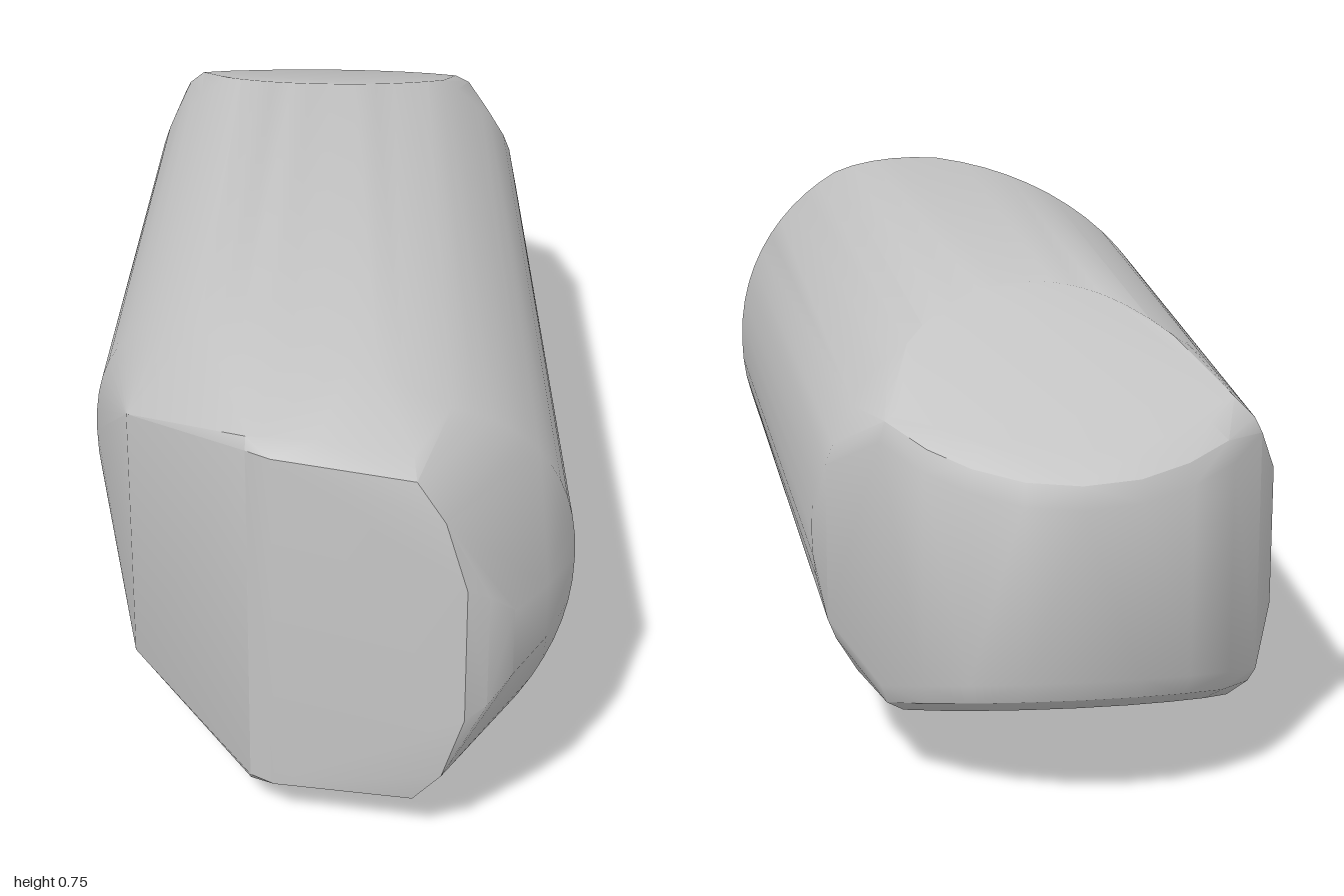
import * as THREE from 'three';
import { ConvexGeometry } from 'three/addons/geometries/ConvexGeometry.js';
import { toCreasedNormals } from 'three/addons/utils/BufferGeometryUtils.js';

const MID = 0.375; // height of the horizontal symmetry plane
const POWER = 2.15; // squareness of the oval barrel

export function createModel() {
  const group = new THREE.Group();
  const grey = new THREE.MeshStandardMaterial({ color: 0xc4c4c4 });
  grey.name = 'stone grey';

  const points = [];
  const add = (x, dy, z) => points.push(new THREE.Vector3(x, MID + dy, z));
  const addPair = (x, dy, z) => { add(x, dy, z); add(x, -dy, z); };
  const lerp = THREE.MathUtils.lerp;

  // Half height of the sloping tail faces at depth z, and of the barrel at x
  const tailHeight = (z) => 0.37 - 0.335 * (-0.445 - z);
  const barrelHeight = (x) => {
    const u = Math.min(1, Math.abs(x + 0.02) / 0.38);
    return 0.37 * (1 - u ** POWER) ** (1 / POWER);
  };

  // Oval barrel: each lengthwise line ends where the nose and tail cuts meet it
  const sides = 64;
  for (let i = 0; i < sides; i++) {
    const a = (i / sides) * Math.PI * 2;
    const round = (v) => Math.sign(v) * Math.abs(v) ** (2 / POWER);
    const u = round(Math.cos(a)), v = round(Math.sin(a));

    const back = Math.max(-0.62, -0.445 - 0.37 * (1 - Math.abs(v)) / 0.335);
    add(-0.02 + 0.38 * u, 0.37 * v, back);

    const x = 0.417 * u;
    const front = x < 0 ? lerp(0.3, 0.72, 1 + u)
      : x < 0.2 ? lerp(0.72, 0.81, x / 0.2)
      : lerp(0.81, 0.7, (x - 0.2) / 0.217);
    add(x, 0.375 * v, front);
  }

  // Rounded tail: upright wall with a soft bevel, kept inside the barrel
  const tail = [
    [-0.4, -0.66], [-0.385, -0.74], [-0.345, -0.82], [-0.285, -0.895], [-0.21, -0.95],
    [-0.125, -0.988], [-0.03, -1], [0.06, -0.985], [0.14, -0.945], [0.205, -0.89],
    [0.265, -0.81], [0.34, -0.685],
  ];
  const bevel = [[0, 0.045], [0.035, 0.015], [0.13, 0]]; // inset, drop
  for (const [x, z] of tail) {
    for (const [inset, drop] of bevel) {
      const px = lerp(x, -0.03, inset), pz = lerp(z, -0.62, inset);
      addPair(px, Math.min(tailHeight(pz) - drop, barrelHeight(px)), pz);
    }
  }

  // Faceted nose, mirrored above and below the middle
  const nose = [
    [-0.32, 0.23, 0.655], [-0.11, 0.305, 0.9], [-0.11, 0.322, 0.885], [-0.07, 0.305, 0.925],
    [0, 0.324, 0.9], [0.15, 0.315, 0.925], [0.155, 0.295, 0.97], [0.2, 0.235, 0.99],
    [0.235, 0.12, 1], [0.27, 0.1, 0.985], [0.31, 0.06, 0.955], [0.365, 0.05, 0.865],
  ];
  for (const p of nose) addPair(...p);

  const body = new THREE.Mesh(toCreasedNormals(new ConvexGeometry(points), 0.55), grey);
  body.name = 'body';
  group.add(body);
  return group;
}
